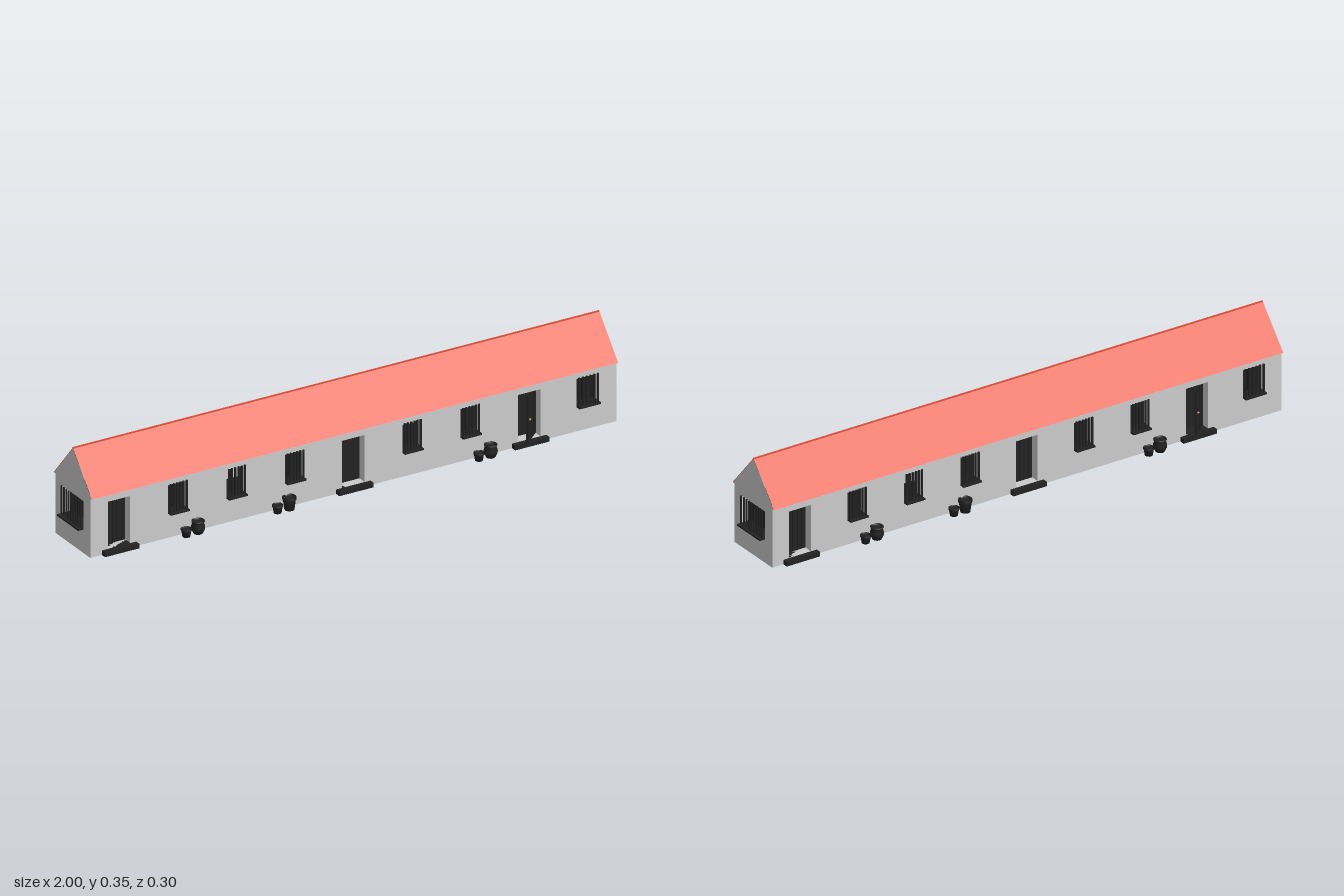
import * as THREE from 'three';

const wallMat = new THREE.MeshStandardMaterial({ color: 0xcccccc, side: THREE.DoubleSide });
const roofMat = new THREE.MeshStandardMaterial({ color: 0xe0523a, side: THREE.DoubleSide });
const darkMat = new THREE.MeshStandardMaterial({ color: 0x222222 });
const potMat = new THREE.MeshStandardMaterial({ color: 0x222222, side: THREE.DoubleSide });
const brassMat = new THREE.MeshStandardMaterial({ color: 0xc89632 });

const L = 0.98, W = 0.108, EAVE = 0.21, RIDGE = 0.345, OVER = 0.118, DEPTH = 0.04;

function add(parent, name, geo, mat, x = 0, y = 0, z = 0) {
  const m = new THREE.Mesh(geo, mat);
  m.name = name;
  m.position.set(x, y, z);
  parent.add(m);
  return m;
}
const box = (parent, name, w, h, d, x, y, z, mat = darkMat) =>
  add(parent, name, new THREE.BoxGeometry(w, h, d), mat, x, y, z);

function polygon(points) {
  return new THREE.Shape(points.map(p => new THREE.Vector2(...p)));
}
function cutHole(shape, x, w, y0, y1) {
  const a = x - w / 2, b = x + w / 2;
  shape.holes.push(new THREE.Path([[a, y0], [a, y1], [b, y1], [b, y0]].map(p => new THREE.Vector2(...p))));
}

// Four thin wall-coloured sides running inward from an opening
function reveal(parent, w, y0, y1) {
  const h = y1 - y0, t = 0.002;
  for (const s of [-1, 1]) box(parent, 'revealSide', t, h, DEPTH, s * (w + t) / 2, y0 + h / 2, -DEPTH / 2 - 0.0005, wallMat);
  for (const y of [y0 - t / 2, y1 + t / 2]) box(parent, 'revealEdge', w + 2 * t, t, DEPTH, 0, y, -DEPTH / 2 - 0.0005, wallMat);
}

// Barred window; shutterTop sets how high the inner shutter reaches
function makeWindow(w, y0, y1, shutterTop, bars, sillOut) {
  const g = new THREE.Group();
  g.name = 'window';
  reveal(g, w, y0, y1);
  box(g, 'shutter', w, shutterTop - y0, 0.005, 0, (y0 + shutterTop) / 2, -DEPTH + 0.003);
  for (const s of [-1, 1]) box(g, 'frameSide', 0.005, y1 - y0, 0.008, s * (w / 2 - 0.0025), (y0 + y1) / 2, -DEPTH + 0.008);
  box(g, 'frameMullion', 0.005, y1 - y0, 0.008, 0, (y0 + y1) / 2, -DEPTH + 0.008);
  box(g, 'sill', w, 0.006, DEPTH + sillOut, 0, y0, (sillOut - DEPTH) / 2);
  const bar = new THREE.CylinderGeometry(0.0035, 0.0035, y1 - y0 + 0.004, 6);
  for (let i = 0; i < bars; i++)
    add(g, 'bar', bar, darkMat, (i / (bars - 1) - 0.5) * (w - 0.01), (y0 + y1) / 2 + 0.003, 0.007);
  return g;
}

// Recessed plank door with a step; angle swings the leaf outward
function makeDoor(angle) {
  const g = new THREE.Group(), w = 0.084, y0 = 0.016, y1 = 0.183, h = y1 - y0;
  g.name = 'door';
  reveal(g, w, y0, y1);
  box(g, 'step', 0.128, 0.016, 0.065, 0, 0.008, -0.013);
  if (angle) box(g, 'doorBack', w, h, 0.003, 0, y0 + h / 2, -DEPTH);
  const leaf = new THREE.Group();
  leaf.name = 'doorLeaf';
  leaf.position.set(w / 2, y0, -DEPTH + 0.005);
  leaf.rotation.y = angle;
  box(leaf, 'panel', w, h, 0.005, -w / 2, h / 2, 0);
  for (let i = 0; i < 5; i++) box(leaf, 'plank', w / 5 - 0.003, h - 0.004, 0.004, -(i + 0.5) * w / 5, h / 2, 0.003);
  add(leaf, 'knob', new THREE.SphereGeometry(0.004, 10, 8), brassMat, -w + 0.009, 0.081, 0.008);
  g.add(leaf);
  return g;
}

function makePot(r, h, round) {
  const g = new THREE.Group();
  g.name = 'plantPot';
  const profile = round
    ? [[0, 0], [0.65, 0], [0.95, 0.3], [1, 0.55], [0.8, 0.82], [0.95, 0.92], [0.95, 1], [0.75, 1], [0.7, 0.85]]
    : [[0, 0], [0.72, 0], [0.9, 0.75], [1, 0.78], [1, 1], [0.87, 1], [0.82, 0.85]];
  add(g, 'potBody', new THREE.LatheGeometry(profile.map(([a, b]) => new THREE.Vector2(a * r, b * h)), 14), potMat);
  add(g, 'soil', new THREE.CylinderGeometry(r * 0.75, r * 0.75, 0.002, 14), darkMat, 0, h * 0.86, 0);
  return g;
}

// Long side: wall, doors, windows and pots
function makeLongSide() {
  const g = new THREE.Group();
  g.name = 'longSide';
  const shape = polygon([[-L, 0], [L, 0], [L, EAVE], [-L, EAVE]]);
  const place = (part, x, z = W) => { part.position.set(x, 0, z); g.add(part); };
  for (const [x, angle] of [[-0.873, 0], [0, 0], [0.655, 0.72]]) {
    cutHole(shape, x, 0.084, 0.016, 0.183);
    place(makeDoor(angle), x);
  }
  const windows = [[-0.655, 0.178], [-0.438, 0.132], [-0.22, 0.178], [0.217, 0.16], [0.434, 0.178], [0.872, 0.184]];
  for (const [x, top] of windows) {
    const w = x > 0.8 ? 0.08 : 0.07;
    cutHole(shape, x, w, 0.088, 0.186);
    place(makeWindow(w, 0.088, 0.186, top, 6, 0.018), x);
  }
  [-0.635, -0.295, 0.455].forEach((x, i) => {
    place(makePot(0.018, 0.028, false), x, 0.129);
    place(makePot(0.023, 0.045, i !== 1), x + 0.045, 0.127);
  });
  add(g, 'longWall', new THREE.ShapeGeometry(shape), wallMat, 0, 0, W);
  return g;
}

// Gable end with one wide barred window
function makeGable() {
  const g = new THREE.Group();
  g.name = 'gableEnd';
  const shape = polygon([[-W, 0], [W, 0], [W, EAVE], [OVER, EAVE], [0, RIDGE], [-OVER, EAVE], [-W, EAVE]]);
  cutHole(shape, 0, 0.13, 0.086, 0.184);
  add(g, 'gableWall', new THREE.ShapeGeometry(shape), wallMat, 0, 0, L);
  const win = makeWindow(0.13, 0.086, 0.184, 0.182, 9, 0.02);
  win.position.z = L;
  g.add(win);
  return g;
}

export function createModel() {
  const house = new THREE.Group();
  house.name = 'longHouse';
  for (const turn of [0, Math.PI]) {
    const side = makeLongSide();
    side.rotation.y = turn;
    const gable = makeGable();
    gable.rotation.y = turn + Math.PI / 2;
    house.add(side, gable);

    // Roof slope and the eave soffit below it
    const run = Math.hypot(OVER, RIDGE - EAVE);
    const slope = new THREE.Group();
    slope.name = 'roofSlope';
    slope.rotation.y = turn;
    const sheet = add(slope, 'roofSheet', new THREE.PlaneGeometry(2 * L, run), roofMat, 0, (EAVE + RIDGE) / 2 + 0.001, OVER / 2 + 0.001);
    sheet.rotation.x = -Math.atan2(OVER, RIDGE - EAVE);
    const soffit = add(slope, 'soffit', new THREE.PlaneGeometry(2 * L, OVER - W), wallMat, 0, EAVE, (OVER + W) / 2);
    soffit.rotation.x = Math.PI / 2;
    house.add(slope);
  }
  box(house, 'ridgeCap', 2 * L, 0.004, 0.005, 0, RIDGE + 0.001, 0, roofMat);
  return house;
}
